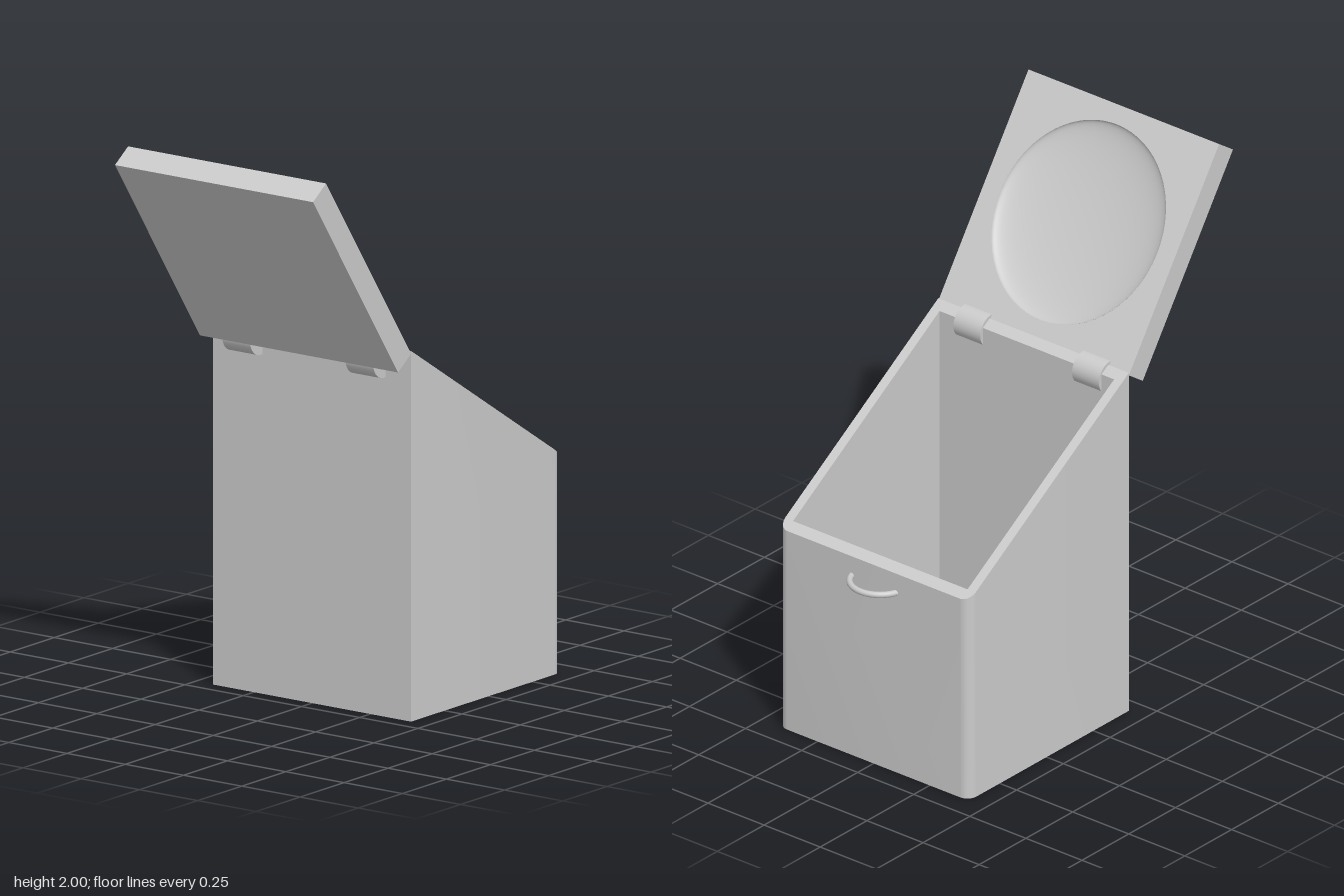
import * as THREE from 'three';
import { toCreasedNormals } from 'three/addons/utils/BufferGeometryUtils.js';

const material = new THREE.MeshStandardMaterial({ color: 0xcccccc });
const openMaterial = new THREE.MeshStandardMaterial({ color: 0xcccccc, side: THREE.DoubleSide });

const HALF_W = 0.425, FRONT = 0.19, BACK = -0.665, WALL = 0.036;
const FRONT_TOP = 1.31, BACK_TOP = 0.77, FLOOR = 0.04, CORNER = 0.04;
const LID_LENGTH = 0.85, LID_THICK = 0.09, LID_TILT = 0.603;

function add(parent, name, geometry, mat = material) {
  const mesh = new THREE.Mesh(geometry, mat);
  mesh.name = name;
  parent.add(mesh);
  return mesh;
}

// Height of the sloping rim at depth z
const rimHeight = (z) => THREE.MathUtils.mapLinear(z, BACK, FRONT, BACK_TOP, FRONT_TOP);

// Hollow walls: square front corners, rounded back corners, top cut on a slope
function wallsGeometry() {
  const s = new THREE.Shape();
  s.moveTo(-HALF_W, -FRONT);
  s.lineTo(HALF_W, -FRONT);
  s.lineTo(HALF_W, -BACK - CORNER);
  s.absarc(HALF_W - CORNER, -BACK - CORNER, CORNER, 0, Math.PI / 2);
  s.absarc(-HALF_W + CORNER, -BACK - CORNER, CORNER, Math.PI / 2, Math.PI);
  s.closePath();
  const x = HALF_W - WALL, f = -FRONT + WALL, b = -BACK - WALL;
  const hole = new THREE.Path();
  hole.moveTo(-x, f).lineTo(-x, b).lineTo(x, b).lineTo(x, f).closePath();
  s.holes.push(hole);
  const g = new THREE.ExtrudeGeometry(s, { depth: 1, bevelEnabled: false, curveSegments: 10 });
  g.rotateX(-Math.PI / 2);
  const p = g.attributes.position;
  for (let i = 0; i < p.count; i++) {
    if (p.getY(i) > 0.5) p.setY(i, rimHeight(p.getZ(i)));
  }
  return toCreasedNormals(g, 0.5);
}

// Tilted lid with a shallow round dish in its inner face
function buildLid() {
  const lid = new THREE.Group();
  lid.name = 'lid';
  const plate = 0.02, mid = LID_LENGTH / 2, rx = 0.35, ry = 0.36, depth = 0.055;
  const s = new THREE.Shape();
  s.moveTo(-HALF_W, 0);
  s.lineTo(HALF_W, 0);
  s.lineTo(HALF_W, LID_LENGTH);
  s.lineTo(-HALF_W, LID_LENGTH);
  s.closePath();
  const hole = new THREE.Path();
  hole.absellipse(0, mid, rx, ry, 0, Math.PI * 2, true);
  s.holes.push(hole);
  const panel = new THREE.ExtrudeGeometry(s, { depth: LID_THICK - plate, bevelEnabled: false, curveSegments: 64 });
  panel.translate(0, 0, plate - LID_THICK);
  add(lid, 'lidPanel', toCreasedNormals(panel, 0.5));

  const back = new THREE.BoxGeometry(HALF_W * 2, LID_LENGTH, plate);
  add(lid, 'lidOuterPlate', back).position.set(0, mid, -LID_THICK + plate / 2);

  const profile = [];
  for (let i = 0; i <= 20; i++) {
    const a = (i / 20) * Math.PI / 2;
    profile.push(new THREE.Vector2(Math.sin(a), -depth * Math.cos(a)));
  }
  const dish = new THREE.LatheGeometry(profile, 64);
  dish.rotateX(Math.PI / 2);
  dish.scale(rx, ry, 1);
  add(lid, 'lidDish', dish, openMaterial).position.y = mid;

  lid.rotation.set(LID_TILT, Math.PI, 0);
  lid.position.set(0, 1.3, FRONT);
  return lid;
}

export function createModel() {
  const model = new THREE.Group();
  model.name = 'openBin';

  const body = new THREE.Group();
  body.name = 'body';
  add(body, 'walls', wallsGeometry());
  const floor = new THREE.BoxGeometry((HALF_W - WALL) * 2, FLOOR, FRONT - BACK - WALL * 2);
  add(body, 'floor', floor).position.set(0, FLOOR / 2, (FRONT + BACK) / 2);
  model.add(body);

  model.add(buildLid());

  // Hinge barrels between lid and body
  for (const x of [-0.273, 0.256]) {
    const barrel = new THREE.CylinderGeometry(0.06, 0.06, 0.12, 32);
    barrel.rotateZ(Math.PI / 2);
    add(model, 'hinge', barrel).position.set(x, 1.26, 0.2);
  }

  // Curved pull handle on the back wall
  const handle = new THREE.TorusGeometry(0.104, 0.011, 16, 40, Math.PI);
  handle.rotateX(-Math.PI / 2);
  add(model, 'handle', handle).position.set(0, 0.695, -0.631);

  return model;
}
